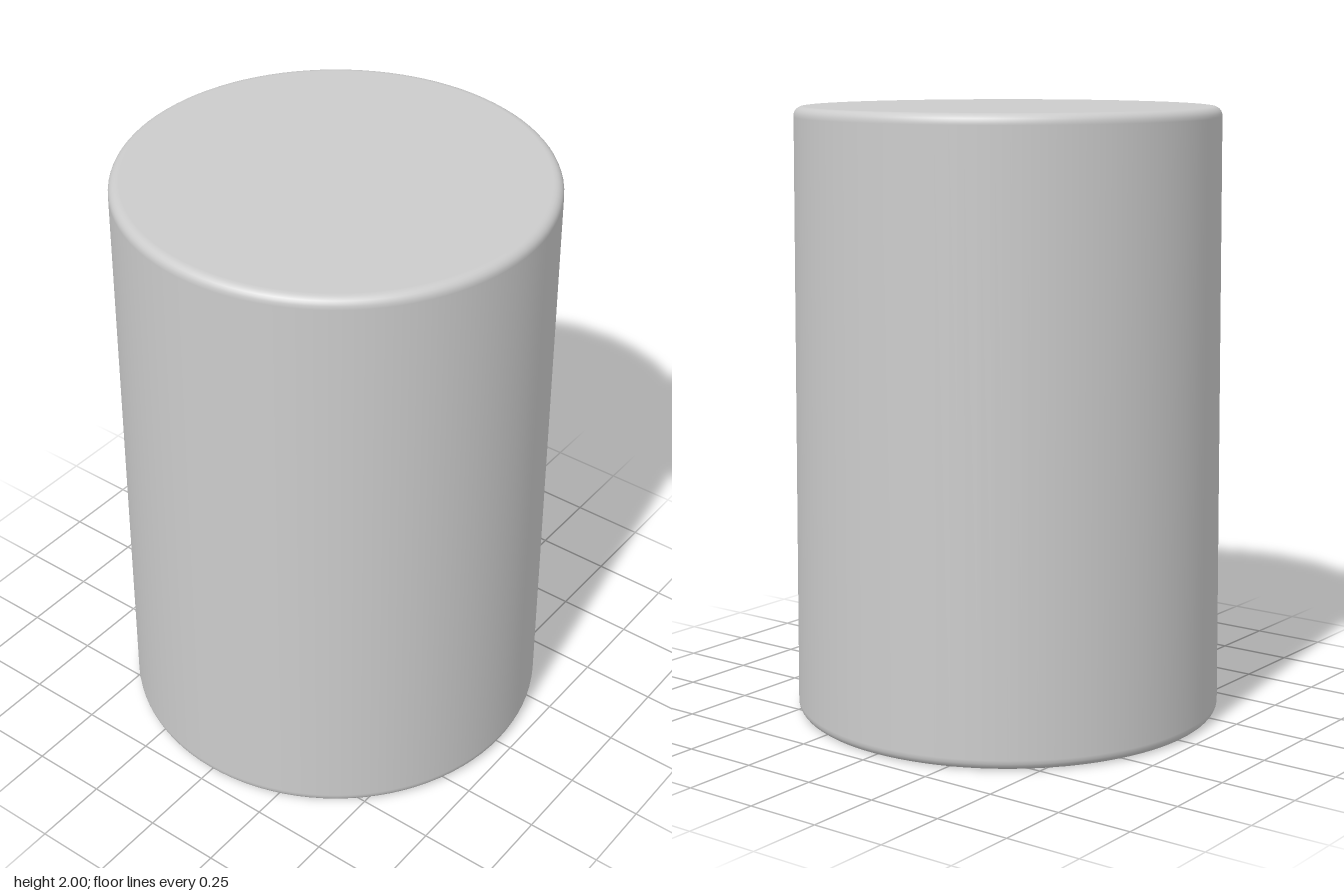
import * as THREE from 'three';

const SEGMENTS = 96;

// Quarter-round from one angle to another, with a guard point on each side
// so that the fillet shades smoothly and the flats stay flat.
function fillet(cx, cy, r, from, to, steps = 6) {
  const pts = [];
  for (let i = 0; i <= steps; i++) {
    const a = from + (to - from) * i / steps;
    pts.push(new THREE.Vector2(cx + r * Math.cos(a), cy + r * Math.sin(a)));
  }
  const d = Math.sign(to - from) * 0.004;
  const before = pts[0].clone().add(new THREE.Vector2(Math.sin(from) * d, -Math.cos(from) * d));
  const after = pts[steps].clone().add(new THREE.Vector2(-Math.sin(to) * d, Math.cos(to) * d));
  return [before, ...pts, after];
}

// Helical ridge whose ends sink into the wall
class ThreadCurve extends THREE.Curve {
  constructor(radius, startY, pitch, turns) {
    super();
    Object.assign(this, { radius, startY, pitch, turns });
  }
  getPoint(t, target = new THREE.Vector3()) {
    const a = t * this.turns * Math.PI * 2;
    const fade = Math.max(0, 1 - Math.min(t, 1 - t) / 0.06);
    const r = this.radius + 0.05 * fade;
    return target.set(r * Math.cos(a), this.startY + this.pitch * this.turns * t, -r * Math.sin(a));
  }
}

export function createModel() {
  const group = new THREE.Group();
  group.name = 'screwCap';
  const material = new THREE.MeshStandardMaterial({ color: 0xcccccc });

  const P = Math.PI;
  const bore = 0.56;
  // Closed profile: ceiling of the bore, inner wall, rim, outer wall, top
  const profile = [
    new THREE.Vector2(0, 1.86),
    ...fillet(bore - 0.03, 1.83, 0.03, P / 2, 0),
    ...fillet(bore + 0.015, 0.015, 0.015, P, P * 1.5),
    ...fillet(0.675, 0.03, 0.03, -P / 2, 0),
    ...fillet(0.66, 1.97, 0.03, 0, P / 2),
    new THREE.Vector2(0, 2),
  ];
  const shell = new THREE.Mesh(new THREE.LatheGeometry(profile, SEGMENTS), material);
  shell.name = 'capShell';
  group.add(shell);

  // Inner screw thread
  const curve = new ThreadCurve(bore + 0.01, 0.17, 0.29, 2.5);
  const thread = new THREE.Mesh(new THREE.TubeGeometry(curve, 240, 0.045, 12, false), material);
  thread.name = 'innerThread';
  group.add(thread);

  return group;
}
